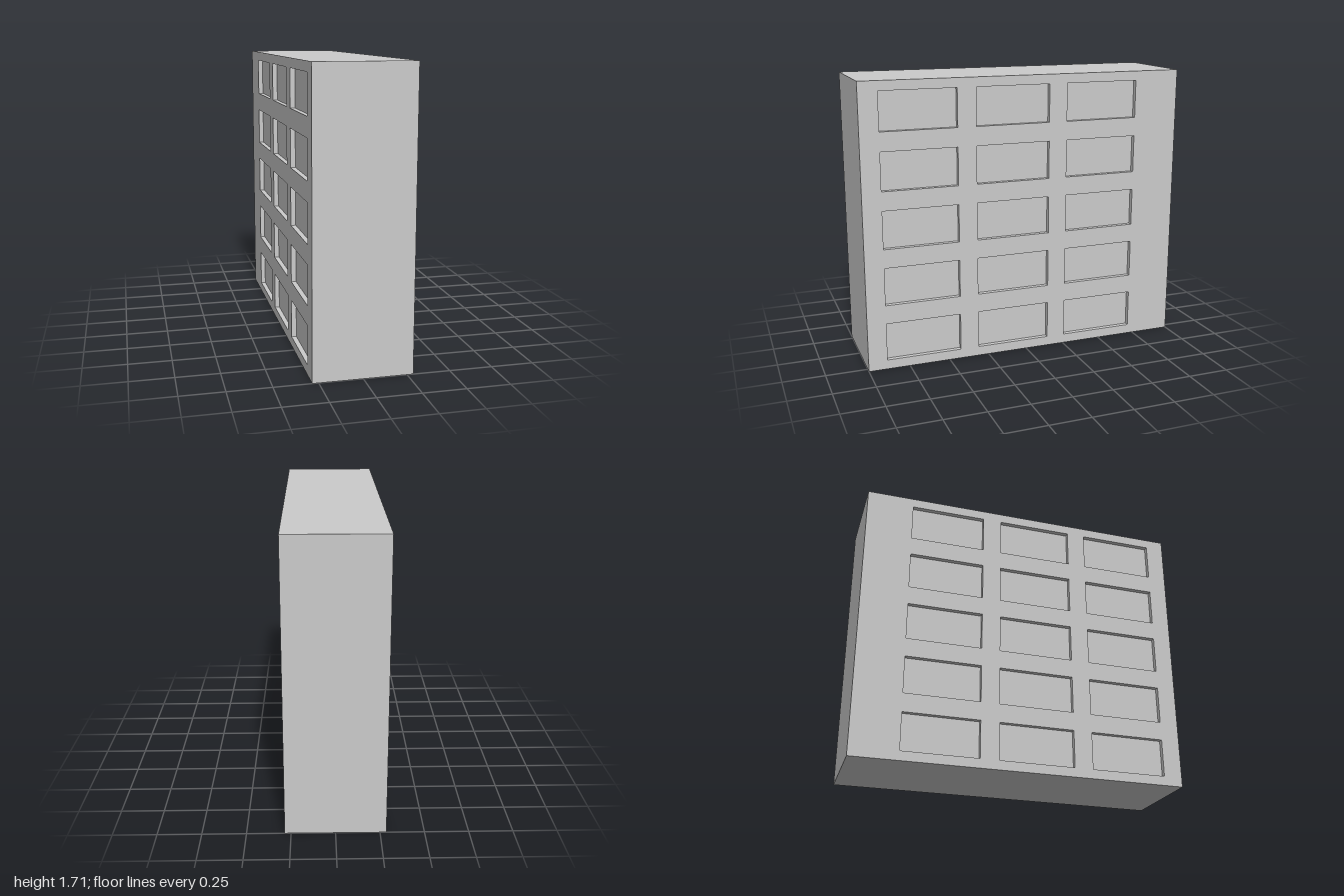
import * as THREE from 'three';

const U = 2 / 7; // module size: the block is 2 x 6 x 7 modules
const W = 2 * U, H = 6 * U, L = 7 * U, DEPTH = 0.1 * U;

function rect(path, u, v, w, h) {
  path.moveTo(u, v);
  path.lineTo(u + w, v);
  path.lineTo(u + w, v + h);
  path.lineTo(u, v + h);
  path.closePath();
  return path;
}

// Facade slab pierced by 5 rows of 3 windows (shape u runs along -z)
function facadeGeometry() {
  const shape = rect(new THREE.Shape(), -L / 2, 0, L, H);
  for (let row = 0; row < 5; row++) {
    for (let col = 0; col < 3; col++) {
      const u = -L / 2 + (0.4 + 2 * col) * U;
      const v = (0.2 + 1.2 * row) * U;
      shape.holes.push(rect(new THREE.Path(), u, v, 1.6 * U, 0.8 * U));
    }
  }
  return new THREE.ExtrudeGeometry(shape, { depth: DEPTH, bevelEnabled: false }).rotateY(Math.PI / 2);
}

export function createModel() {
  const group = new THREE.Group();
  group.name = 'buildingBlock';
  const material = new THREE.MeshStandardMaterial({ color: 0xcccccc, flatShading: true });

  // Solid core, whose sides form the recessed window panes
  const core = new THREE.Mesh(new THREE.BoxGeometry(W - 2 * DEPTH, H, L), material);
  core.name = 'core';
  core.position.y = H / 2;
  group.add(core);

  // Matching window facades on both long sides
  const geometry = facadeGeometry();
  for (const [name, x] of [['leftFacade', W / 2 - DEPTH], ['rightFacade', -W / 2]]) {
    const facade = new THREE.Mesh(geometry, material);
    facade.name = name;
    facade.position.x = x;
    group.add(facade);
  }
  return group;
}
